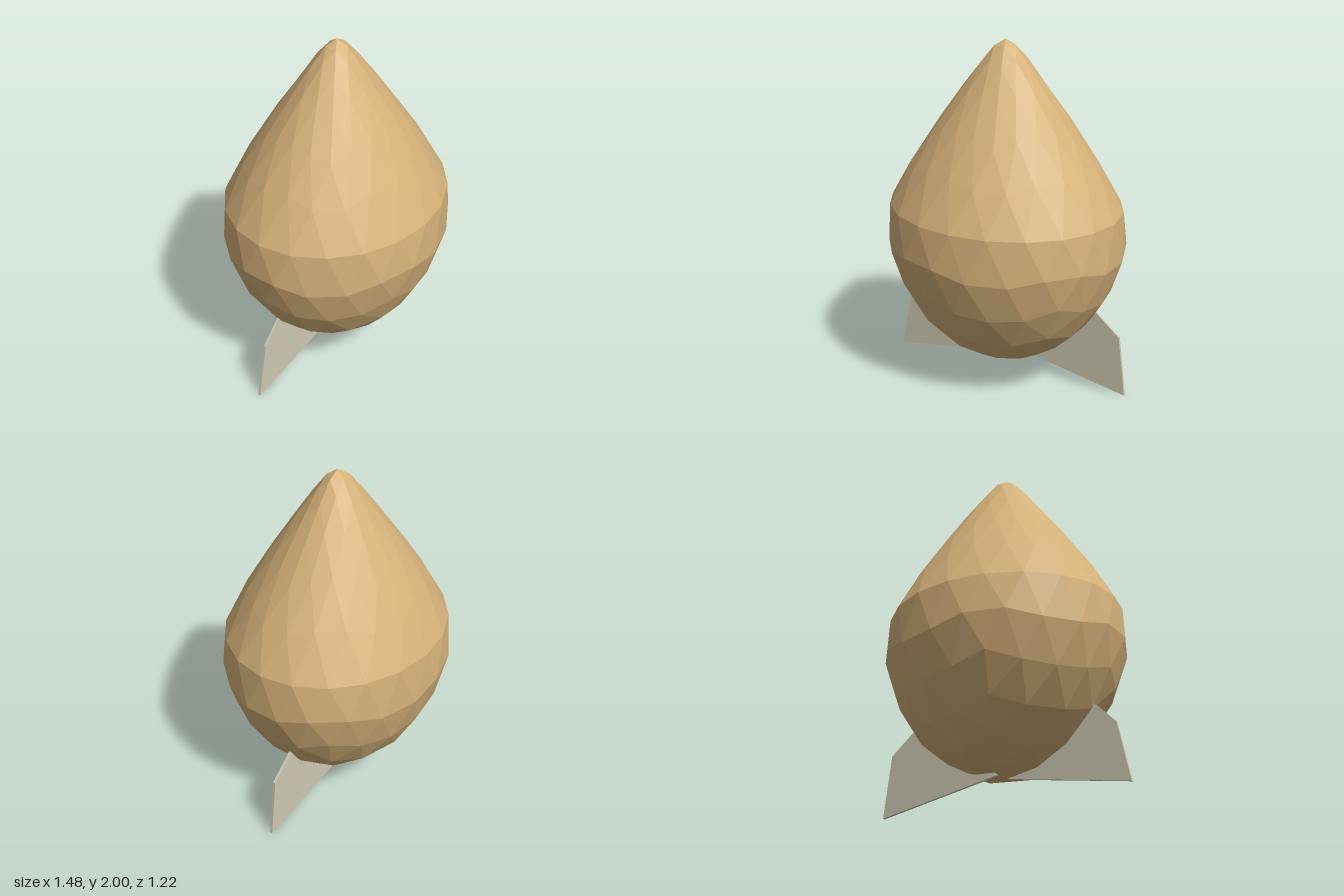
import * as THREE from 'three';

const tan = new THREE.MeshStandardMaterial({ color: 0xd6b27a });
tan.name = 'tan';
const paleGrey = new THREE.MeshStandardMaterial({ color: 0xcfc9b2 });
paleGrey.name = 'paleGrey';

// Twice-split icosphere with its poles on y, and an upper corner toward +x
function icosphere() {
  const half = Array.from(new THREE.IcosahedronGeometry(1, 1).attributes.position.array);
  const faces = Array.from({ length: half.length / 3 }, (_, i) => i);
  const geo = new THREE.PolyhedronGeometry(half, faces, 1, 1);
  geo.rotateX(-Math.atan2((1 + Math.sqrt(5)) / 2, 1));
  geo.rotateY(Math.PI / 2);
  return geo;
}

// Drop-shaped body: wide below the middle, tapering to the top, flatter in z
function bodyGeometry() {
  const geo = icosphere();
  const p = geo.attributes.position;
  for (let i = 0; i < p.count; i++) {
    const s = p.getY(i);
    const r = s > 0 ? 0.68 - 0.46 * s : 0.68 + 0.042 * Math.min(1, -s / 0.2);
    p.setXYZ(i, p.getX(i) * r, 1.065 + 0.935 * s, p.getZ(i) * r * 0.878);
  }
  geo.computeVertexNormals();
  return geo;
}

// Thin flat fin from an outline in x and y, centred on the given z
function fin(name, outline, z, thickness) {
  const shape = new THREE.Shape(outline.map(([x, y]) => new THREE.Vector2(x, y)));
  const geo = new THREE.ExtrudeGeometry(shape, { depth: thickness, bevelEnabled: false });
  geo.translate(0, 0, z - thickness / 2);
  const mesh = new THREE.Mesh(geo, paleGrey);
  mesh.name = name;
  return mesh;
}

export function createModel() {
  const model = new THREE.Group();
  model.name = 'dropWithFins';

  tan.flatShading = true;
  const body = new THREE.Mesh(bodyGeometry(), tan);
  body.name = 'body';
  model.add(body);

  // Side fins, with their inner corners buried in the body
  model.add(fin('leftFin', [[0, 0.135], [0.74, 0.005], [0.695, 0.36], [0.545, 0.485], [0.42, 0.52]], -0.078, 0.015));
  model.add(fin('rightFin', [[0, 0.135], [-0.74, 0.005], [-0.67, 0.335], [-0.52, 0.485], [-0.42, 0.52]], 0, 0.013));

  return model;
}
